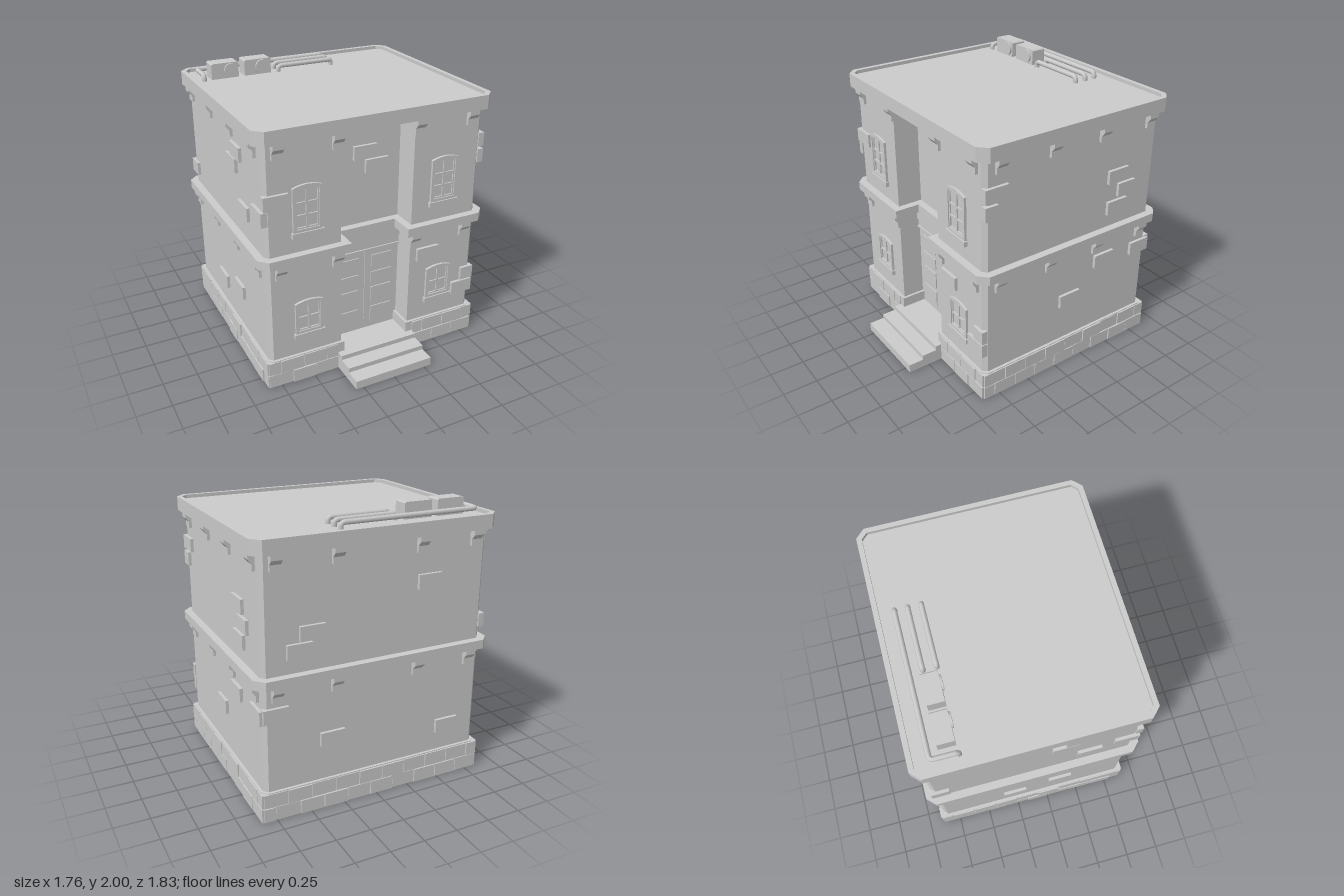
import * as THREE from 'three';

const grey = new THREE.MeshStandardMaterial({ color: 0xcccccc });
const greyTwoSided = new THREE.MeshStandardMaterial({ color: 0xcccccc, side: THREE.DoubleSide });

// Wall planes and recess of the entrance
const X = 0.825, FRONT = 0.61, BACK = -0.86, RECESS = 0.42, RX = 0.277, C = 0.03;
const rect = [[X - C, FRONT], [X, FRONT - C], [X, BACK + C], [X - C, BACK],
  [-X + C, BACK], [-X, BACK + C], [-X, FRONT - C], [-X + C, FRONT]];
const recessed = [...rect, [-RX, FRONT], [-RX, RECESS], [RX, RECESS], [RX, FRONT]];

export function createModel() {
  const root = new THREE.Group();
  const add = (name, geo, mat = grey, parent = root) => {
    const m = new THREE.Mesh(geo, mat);
    m.name = name;
    parent.add(m);
    return m;
  };
  const box = (name, x0, x1, y0, y1, z0, z1, parent = root) => {
    const m = add(name, new THREE.BoxGeometry(x1 - x0, y1 - y0, z1 - z0), grey, parent);
    m.position.set((x0 + x1) / 2, (y0 + y1) / 2, (z0 + z1) / 2);
    return m;
  };

  // Mitred offset of a closed outline of [x, z] points
  const offset = (pts, d) => pts.map((p, i) => {
    const n = pts.length, a = pts[(i + n - 1) % n], b = pts[(i + 1) % n];
    const normal = (s, e) => {
      const l = Math.hypot(e[0] - s[0], e[1] - s[1]);
      return [-(e[1] - s[1]) / l, (e[0] - s[0]) / l];
    };
    const u = normal(a, p), v = normal(p, b), k = d / (1 + u[0] * v[0] + u[1] * v[1]);
    return [p[0] + (u[0] + v[0]) * k, p[1] + (u[1] + v[1]) * k];
  });

  // Sweeps a section of [outset, y] points round an outline
  const band = (outline, section, closed = true) => {
    const rings = section.map(([d, y]) => offset(outline, d).map(([x, z]) => [x, y, z]));
    const pos = [], n = outline.length;
    for (let r = 0; r < rings.length - 1; r++) {
      for (let i = 0; i < (closed ? n : n - 1); i++) {
        const j = (i + 1) % n, a = rings[r][i], b = rings[r][j], c = rings[r + 1][j], d = rings[r + 1][i];
        pos.push(...a, ...b, ...c, ...a, ...c, ...d);
      }
    }
    const g = new THREE.BufferGeometry();
    g.setAttribute('position', new THREE.Float32BufferAttribute(pos, 3));
    g.computeVertexNormals();
    return g;
  };

  // Horizontal slab from an outline, with an optional hole
  const slab = (outline, y0, y1, hole) => {
    const toV = (pts) => pts.map(([x, z]) => new THREE.Vector2(x, -z));
    const s = new THREE.Shape(toV(outline));
    if (hole) s.holes.push(new THREE.Path(toV(hole)));
    return new THREE.ExtrudeGeometry(s, { depth: y1 - y0, bevelEnabled: false }).rotateX(-Math.PI / 2).translate(0, y0, 0);
  };

  // Places a part that faces +z onto one of the walls; u runs along x or z
  const onWall = (mesh, side, u, y) => {
    const [x, z, turn] = {
      front: [u, FRONT, 0], recess: [u, RECESS, 0], back: [u, BACK, Math.PI],
      right: [X, u, Math.PI / 2], left: [-X, u, -Math.PI / 2],
    }[side];
    mesh.position.set(x, y, z);
    mesh.rotation.y = turn;
  };

  // Shell, middle cornice and roof
  add('walls', band(recessed, [[0, 0.1], [0, 1.82]]), greyTwoSided);
  add('middleCornice', band(recessed, [[0, 0.955], [0.055, 0.955], [0.055, 1.02], [0, 1.02]]), greyTwoSided);
  add('roofSlab', slab(offset(rect, 0.05), 1.81, 1.885));
  add('roofRim', slab(offset(rect, 0.055), 1.81, 1.91, offset(rect, 0.02)));

  // Plinth, open at the entrance
  const plinthPath = [[RX, FRONT], ...rect, [-RX, FRONT]];
  const plinth = band([...plinthPath, [-RX, RECESS], [RX, RECESS]], [[0.02, 0], [0.02, 0.21], [0, 0.21]]);
  add('plinth', plinth, greyTwoSided);

  // Two staggered courses of plinth bricks
  let seed = 7;
  const rnd = () => (seed = (seed * 16807) % 2147483647) / 2147483647;
  const plinthBricks = (side, from, to) => {
    for (let row = 0; row < 2; row++) {
      const pitch = 0.178;
      for (let u = from - row * pitch / 2; u < to - 0.03; u += pitch) {
        const a = Math.max(u, from), b = Math.min(u + pitch - 0.006, to);
        if (b - a < 0.03) continue;
        const out = 0.023 + 0.011 * rnd();
        const m = add('plinthBrick', new THREE.BoxGeometry(b - a, 0.098, 0.07 + out));
        m.geometry.translate(0, 0, (out - 0.07) / 2);
        onWall(m, side, (a + b) / 2, 0.05 + row * 0.105);
      }
    }
  };
  plinthBricks('front', -0.84, -0.31);
  plinthBricks('front', 0.31, 0.84);
  plinthBricks('back', -0.84, 0.84);
  plinthBricks('left', -0.88, 0.625);
  plinthBricks('right', -0.88, 0.625);

  // Loose wall bricks: [centre along wall, centre height, width]
  const bricks = {
    front: [[-0.745, 1.415], [0.418, 0.765], [0.778, 0.51, 0.105], [0.74, 0.4]],
    recess: [[-0.005, 1.56], [0.088, 1.45]],
    right: [[0.525, 1.57], [0.565, 1.45, 0.1], [-0.503, 1.41], [-0.588, 1.293, 0.155], [-0.51, 1.17],
      [-0.425, 0.765], [-0.775, 0.75], [-0.118, 0.54]],
    left: [[0.17, 1.62], [0.08, 1.51], [0.27, 1.23], [0.53, 1.305], [0.09, 0.52], [-0.27, 0.42], [-0.8, 1.15, 0.13]],
    back: [[0.48, 1.28], [0.57, 1.17], [-0.375, 1.5], [0.335, 0.51], [-0.57, 0.4], [0.74, 0.76]],
  };
  for (const side in bricks) {
    for (const [u, y, w = 0.176] of bricks[side]) {
      onWall(add('wallBrick', new THREE.BoxGeometry(w, 0.1, 0.045)), side, u, y);
    }
  }

  // Brackets below both cornices
  const profile = [[-0.01, 0], [0.045, 0], [0.045, -0.035], [0.02, -0.066], [0.02, -0.11], [-0.01, -0.11]];
  const bracket = new THREE.ExtrudeGeometry(new THREE.Shape(profile.map((p) => new THREE.Vector2(...p))),
    { depth: 0.076, bevelEnabled: false }).rotateY(-Math.PI / 2).translate(0.038, 0, 0);
  for (const y of [0.955, 1.81]) {
    for (const side of ['front', 'back']) {
      for (const u of [-0.725, -0.306, 0.306, 0.725]) onWall(add('bracket', bracket), side, u, y);
    }
    for (const side of ['left', 'right']) {
      for (const u of [-0.77, -0.35, 0.07, 0.49]) onWall(add('bracket', bracket), side, u, y);
    }
  }

  // Arched windows with panes cut from the frame
  const arched = (Type, x0, x1, y0, y1, rise) => {
    const top = (x) => y1 + rise * (1 - (x / 0.105) ** 2);
    const p = new Type();
    p.moveTo(x0, y0);
    p.lineTo(x1, y0);
    for (let i = 0; i <= 6; i++) {
      const x = x1 + (x0 - x1) * i / 6;
      p.lineTo(x, top(x));
    }
    p.closePath();
    return p;
  };
  const makeWindow = (x, y, height, rows) => {
    const w = new THREE.Group();
    w.name = 'window';
    const plain = { depth: 0.03, bevelEnabled: false };
    const outer = arched(THREE.Shape, -0.105, 0.105, 0, height, 0.02);
    outer.holes.push(arched(THREE.Path, -0.085, 0.085, 0.02, height - 0.02, 0.02));
    add('windowFrame', new THREE.ExtrudeGeometry(outer, plain).translate(0, 0, -0.012), grey, w);
    const sash = arched(THREE.Shape, -0.087, 0.087, 0.018, height - 0.018, 0.02);
    const step = (height - 0.045) / rows;
    for (const [a, b] of [[-0.075, -0.008], [0.008, 0.075]]) {
      for (let r = 0; r < rows; r++) {
        const y0 = 0.03 + r * step, last = r === rows - 1;
        sash.holes.push(arched(THREE.Path, a, b, y0, y0 + step - 0.015, last ? 0.014 : 0));
      }
    }
    add('windowSash', new THREE.ExtrudeGeometry(sash, { ...plain, depth: 0.022 }).translate(0, 0, -0.012), grey, w);
    box('windowSill', -0.115, 0.115, -0.037, 0, -0.015, 0.027, w);
    w.position.set(x, y, FRONT);
    root.add(w);
  };
  for (const x of [-0.525, 0.525]) {
    makeWindow(x, 1.17, 0.315, 3);
    makeWindow(x, 0.383, 0.24, 2);
  }

  // Double door with raised panels, lintel and frieze
  for (const s of [-1, 1]) {
    const leaf = new THREE.Group();
    leaf.name = 'doorLeaf';
    root.add(leaf);
    box('doorPanelBack', s > 0 ? 0.002 : -RX, s > 0 ? RX : -0.002, 0.12, 0.8, RECESS - 0.02, RECESS + 0.022, leaf);
    for (const [y0, y1] of [[0.18, 0.31], [0.35, 0.48], [0.52, 0.61], [0.65, 0.75]]) {
      box('doorPanel', s * 0.138 - 0.085, s * 0.138 + 0.085, y0, y1, RECESS, RECESS + 0.03, leaf);
    }
  }
  box('doorLintel', -RX, RX, 0.8, 0.815, RECESS - 0.02, RECESS + 0.04);
  box('doorFrieze', -RX, RX, 0.815, 0.875, RECESS - 0.02, RECESS + 0.03);
  box('doorCrown', -RX, RX, 0.875, 0.955, RECESS - 0.02, RECESS + 0.042);

  // Entrance steps
  box('lowerStep', -0.307, 0.307, 0, 0.063, 0.68, 0.91);
  box('middleStep', -0.307, 0.307, 0, 0.097, 0.6, 0.795);
  box('landing', -0.307, 0.307, 0, 0.131, 0.4, 0.685);

  // Rooftop cooling units with round fans
  for (const [x0, fanX] of [[-0.722, -0.575], [-0.467, -0.33]]) {
    const x1 = x0 + 0.208, y0 = 1.88, y1 = 2, c = 0.008;
    const s = new THREE.Shape([[x0, y0], [x1, y0], [x1, y1 - c], [x1 - c, y1], [x0 + c, y1], [x0, y1 - c]]
      .map((p) => new THREE.Vector2(...p)));
    add('coolingUnit', new THREE.ExtrudeGeometry(s, { depth: 0.115, bevelEnabled: false }).translate(0, 0, -0.715));
    const fan = add('coolingFan', new THREE.CylinderGeometry(0.052, 0.052, 0.03, 16).rotateX(Math.PI / 2));
    fan.position.set(fanX, 1.943, -0.602);
  }

  // Rooftop pipes with rounded bends
  const pipe = (points) => {
    const v = points.map((p) => new THREE.Vector3(...p)), path = new THREE.CurvePath();
    let start = v[0];
    for (let i = 1; i < v.length - 1; i++) {
      const bend = (to) => v[i].clone().add(to.clone().sub(v[i]).setLength(0.03));
      const a = bend(v[i - 1]), b = bend(v[i + 1]);
      path.add(new THREE.LineCurve3(start, a));
      path.add(new THREE.QuadraticBezierCurve3(a, v[i], b));
      start = b;
    }
    path.add(new THREE.LineCurve3(start, v[v.length - 1]));
    add('roofPipe', new THREE.TubeGeometry(path, 90, 0.018, 8), greyTwoSided);
  };
  const low = 1.87, high = 1.928;
  pipe([[-0.78, low, -0.597], [-0.78, high, -0.597], [-0.78, high, -0.777], [0.243, high, -0.777], [0.243, low, -0.777]]);
  for (const z of [-0.69, -0.6]) pipe([[-0.2, low, z], [-0.2, high, z], [0.243, high, z], [0.243, low, z]]);

  return root;
}
